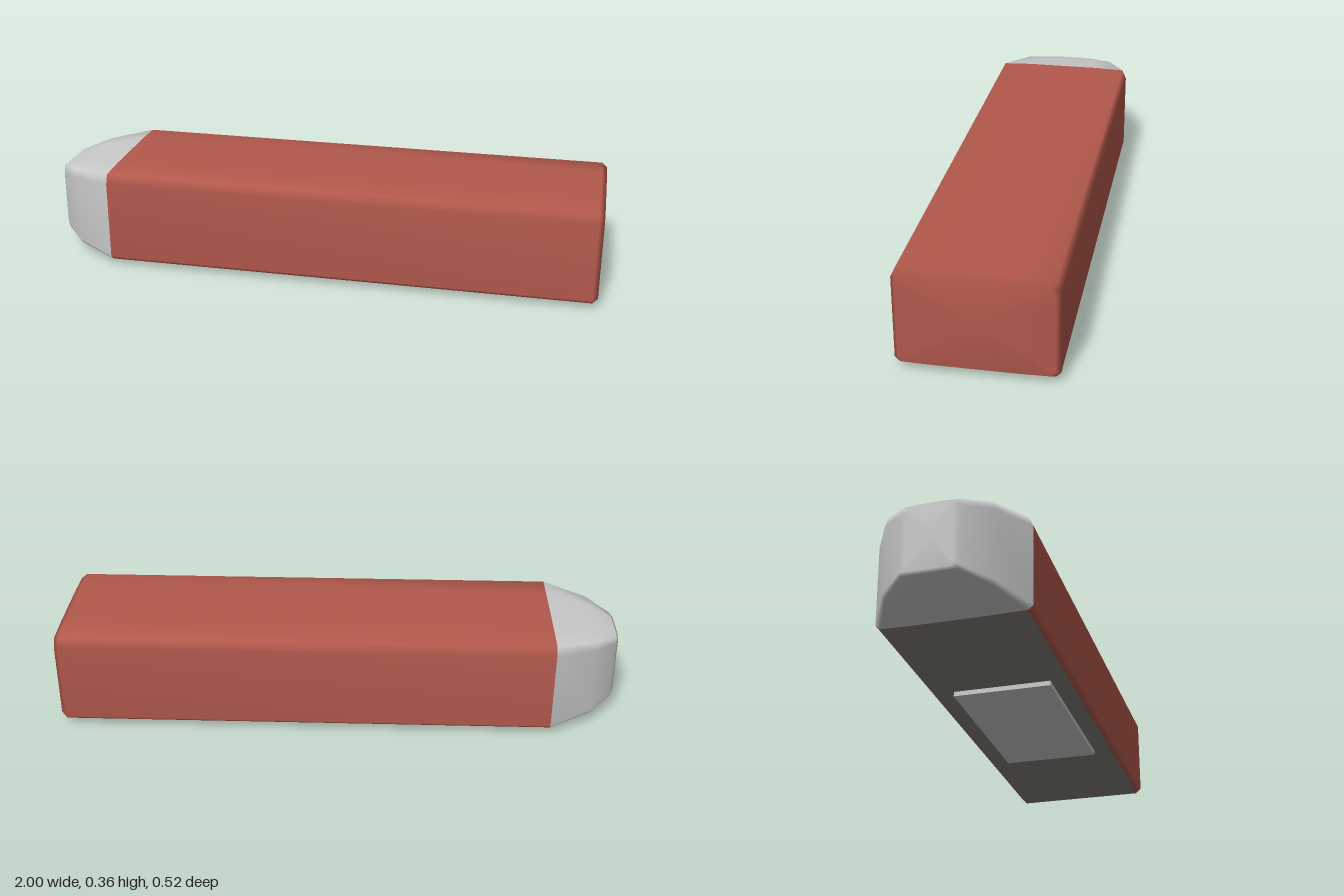
import * as THREE from 'three';

// Half outline of the chamfered section as [z, y], from bottom centre to top centre
const HALF = [[0.14, 0.018], [0.245, 0.02], [0.262, 0.036], [0.262, 0.322], [0.247, 0.355], [0.14, 0.359]];
const MID_Y = 0.188;

// Closed ring, counter-clockwise as seen from +x
const RING = [
  ...HALF.map(([z, y]) => [-z, y]),
  ...HALF.slice().reverse(),
];

// Smooth loft along x through scaled rings: [x, zScale, yScale]
function loft(sections, capStart, capEnd) {
  const n = RING.length;
  const pos = [];
  const index = [];
  for (const [x, sz, sy] of sections) {
    for (const [z, y] of RING) pos.push(x, MID_Y + (y - MID_Y) * sy, z * sz);
  }
  for (let i = 0; i < sections.length - 1; i++) {
    for (let j = 0; j < n; j++) {
      const k = (j + 1) % n;
      const a = i * n + j, b = i * n + k, c = b + n, d = a + n;
      index.push(a, b, c, a, c, d);
    }
  }
  const cap = (s, flip) => {
    const centre = pos.length / 3;
    pos.push(sections[s][0], MID_Y, 0);
    for (let j = 0; j < n; j++) {
      const a = s * n + j, b = s * n + (j + 1) % n;
      index.push(centre, flip ? b : a, flip ? a : b);
    }
  };
  if (capStart) cap(0, true);
  if (capEnd) cap(sections.length - 1, false);
  const geo = new THREE.BufferGeometry();
  geo.setAttribute('position', new THREE.Float32BufferAttribute(pos, 3));
  geo.setIndex(index);
  geo.computeVertexNormals();
  return geo;
}

export function createModel() {
  const group = new THREE.Group();
  const add = (name, geo, color) => {
    const mesh = new THREE.Mesh(geo, new THREE.MeshStandardMaterial({ color }));
    mesh.name = name;
    group.add(mesh);
    return mesh;
  };

  // Long coloured body with a softened closed end
  add('body', loft([[-0.76, 1, 1], [0.982, 1, 1], [1, 0.94, 0.93]], false, true), 0xb3594c);

  // Dark underside of the body
  const underside = add('underside', new THREE.PlaneGeometry(1.742, 0.49), 0x85807a);
  underside.rotation.x = Math.PI / 2;
  underside.position.set(0.111, 0.017, 0);

  // Tapered nose
  add('nose', loft([[-0.76, 1, 1], [-0.91, 0.7, 0.87], [-0.99, 0.37, 0.73], [-1, 0.3, 0.68]].reverse(), true, false), 0xcccccc);

  // Flat plate the body rests on
  const plate = add('basePlate', new THREE.BoxGeometry(0.685, 0.03, 0.352), 0xcccccc);
  plate.position.set(0.103, 0.015, 0.004);

  return group;
}
